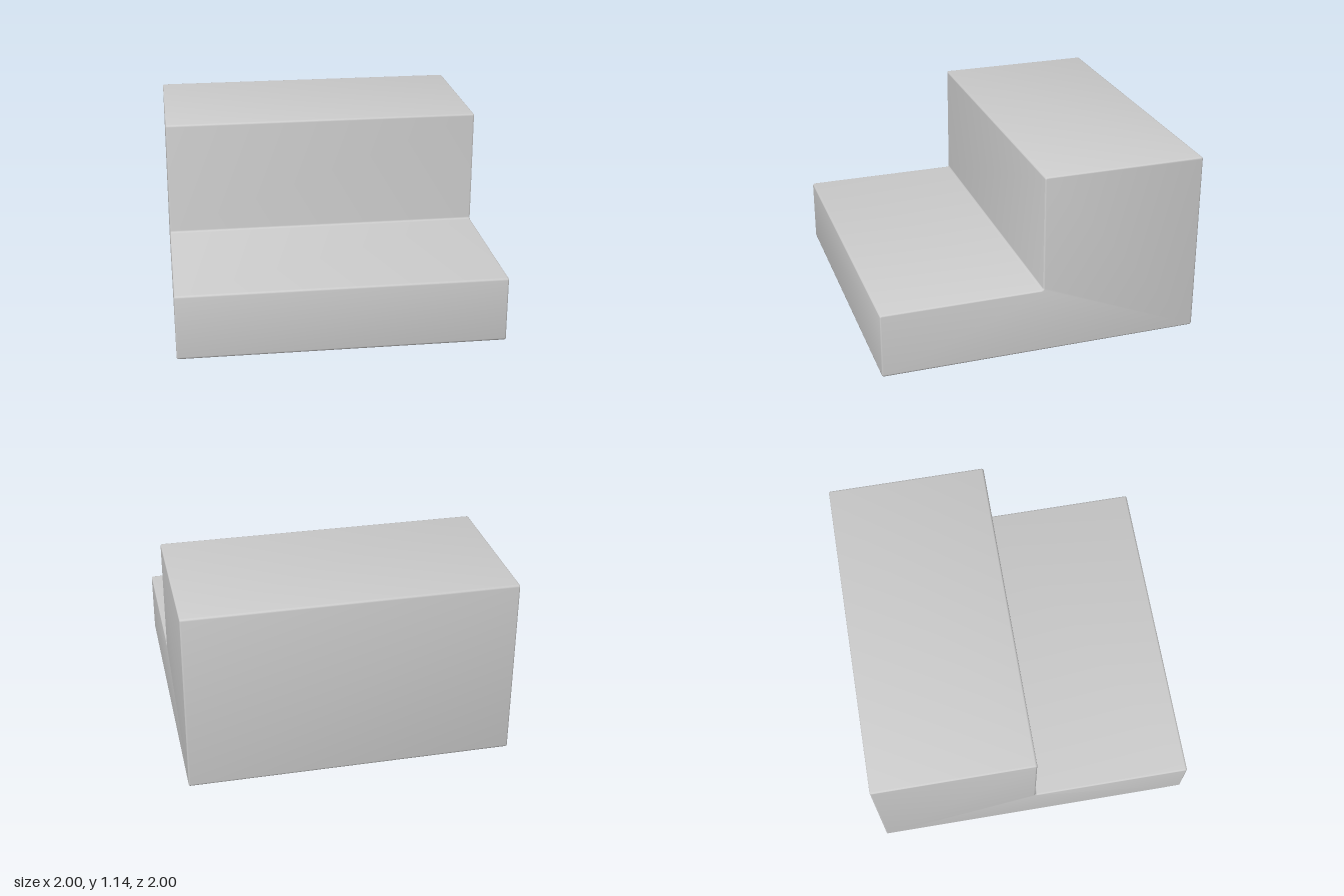
import * as THREE from 'three';
import { toCreasedNormals } from 'three/addons/utils/BufferGeometryUtils.js';

// Closed outline with a small rounding at every corner
function roundedOutline(corners, radius) {
  const shape = new THREE.Shape();
  const points = corners.map(([x, y]) => new THREE.Vector2(x, y));
  const n = points.length;
  const towards = (from, to) => to.clone().sub(from).setLength(radius).add(from);
  points.forEach((p, i) => {
    const start = towards(p, points[(i + n - 1) % n]);
    const end = towards(p, points[(i + 1) % n]);
    if (i === 0) shape.moveTo(start.x, start.y);
    else shape.lineTo(start.x, start.y);
    shape.quadraticCurveTo(p.x, p.y, end.x, end.y);
  });
  shape.closePath();
  return shape;
}

export function createModel() {
  const height = 1.14, stepHeight = 0.41, bevel = 0.01;
  const group = new THREE.Group();
  group.name = 'stepBlock';

  // Side profile: low step at the front, tall block at the back
  const profile = roundedOutline([
    [-1, 0], [1, 0], [1, height], [0, height], [0, stepHeight], [-1, stepHeight],
  ], 0.014);

  // Run the profile across the width, with bevelled ends
  const geometry = new THREE.ExtrudeGeometry(profile, {
    depth: 2 - 2 * bevel,
    curveSegments: 3,
    bevelEnabled: true,
    bevelThickness: bevel,
    bevelSize: bevel,
    bevelOffset: -bevel,
    bevelSegments: 3,
  });
  geometry.translate(0, 0, bevel - 1);
  geometry.rotateY(Math.PI / 2);

  const steps = new THREE.Mesh(
    toCreasedNormals(geometry, 0.75),
    new THREE.MeshStandardMaterial({ color: 0xcccccc }),
  );
  steps.name = 'steps';
  group.add(steps);
  return group;
}
